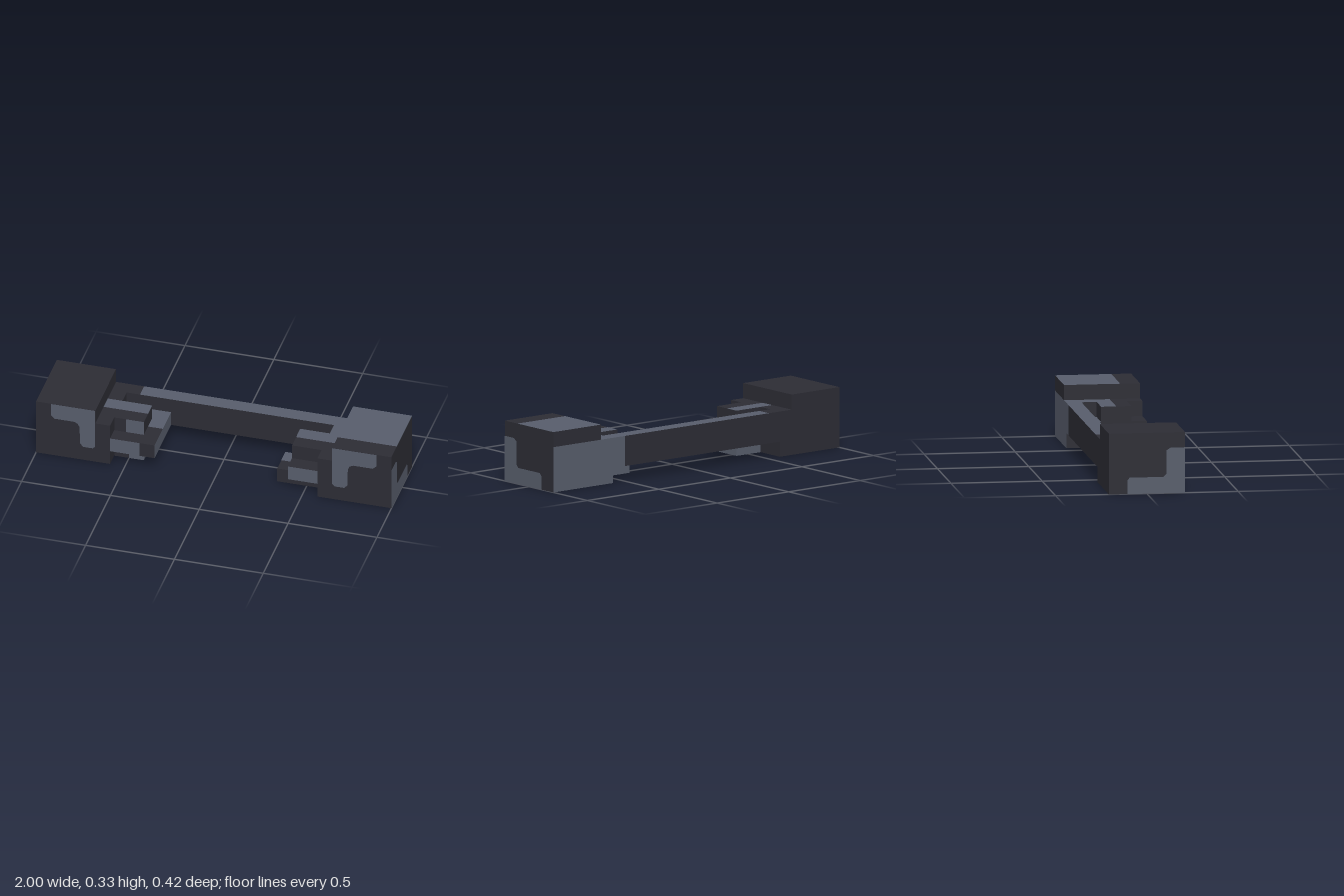
import * as THREE from 'three';

const U = 1 / 12; // grid step of the blocky design

export function createModel() {
  const dark = new THREE.MeshStandardMaterial({ color: 0x2c2c34 });
  dark.name = 'charcoal';
  const light = new THREE.MeshStandardMaterial({ color: 0x575d6b });
  light.name = 'slate';
  const model = new THREE.Group();
  const faces = ['px', 'nx', 'py', 'ny', 'pz', 'nz'];

  // Box from grid limits; the listed faces are slate, the others charcoal
  function block(parent, [x0, x1], [y0, y1], [z0, z1], slate = '') {
    const geo = new THREE.BoxGeometry((x1 - x0) * U, (y1 - y0) * U, (z1 - z0) * U);
    const mesh = new THREE.Mesh(geo, faces.map(f => (slate.includes(f) ? light : dark)));
    mesh.position.set((x0 + x1) / 2 * U, (y0 + y1) / 2 * U, (z0 + z1) / 2 * U);
    mesh.name = parent.name + 'Section';
    parent.add(mesh);
  }
  function part(name, boxes) {
    const group = new THREE.Group();
    group.name = name;
    boxes.forEach(b => block(group, ...b));
    model.add(group);
  }

  // Right end: plain block, mount and stepped fingers
  part('rightEndBlock', [[[-12, -8], [0, 4], [-2.5, 2.5]]]);
  part('rightMount', [
    [[-8, -7], [0, 3], [-2.5, -0.5]],
    [[-8, -7], [0, 3], [-0.5, 0.5], 'py'],
    [[-8, -7], [0, 3], [0.5, 2.5]],
  ]);
  part('rightUpperFinger', [
    [[-7, -5], [2, 3], [-0.5, 0.5], 'py'],
    [[-7, -6.2], [2, 3], [0.5, 1.5]],
    [[-6.2, -5], [2, 3], [0.5, 1.5], 'pz'],
  ]);
  part('rightPlate', [
    [[-7, -4], [1, 2], [-1.5, 0.5], 'py px'],
    [[-7, -5], [1, 2], [0.5, 2.5], 'pz'],
    [[-5, -4], [1, 2], [0.5, 2.5], 'px'],
  ]);
  part('rightLowerFinger', [
    [[-7, -6], [0, 1], [-0.5, 1.5], 'nz'],
    [[-6, -5], [0, 1], [-0.5, 1.5], 'px pz nz'],
  ]);

  // Rear bar joining both ends
  part('rearBar', [
    [[-7, -6.1], [1, 3], [-2.5, -1.5]],
    [[-6.1, 6], [1, 3], [-2.5, -1.5], 'py ny'],
    [[6, 7], [1, 3], [-2.5, -1.5], 'py ny nz'],
  ]);

  // Left end: two-tone block, mount and stepped fingers
  part('leftEndBlock', [
    [[8, 12], [0, 3], [-2.5, 1.2], 'nz ny'],
    [[8, 12], [3, 4], [-2.5, 1.2], 'py'],
    [[8, 12], [0, 4], [1.2, 2.5]],
  ]);
  part('leftMount', [
    [[7, 8], [0, 3], [-2.5, 0.5], 'py ny nz'],
    [[7, 8], [0, 3], [0.5, 2.5]],
  ]);
  part('leftUpperFinger', [
    [[5, 7], [2, 3], [-0.5, 0.5], 'py'],
    [[5, 7], [2, 3], [0.5, 1.5]],
  ]);
  part('leftPlate', [
    [[5, 7], [1, 2], [-1.5, 0.5], 'py'],
    [[5, 7], [1, 2], [0.5, 2.5], 'pz'],
  ]);
  part('leftLowerFinger', [
    [[4, 7], [0, 1], [-0.5, 0.5], 'py ny nz'],
    [[4, 7], [0, 1], [0.5, 1.5]],
  ]);

  // Painted patches: thin plates with rounded corners, one pair per end
  const shapeOf = pts => new THREE.Shape(pts.map(p => new THREE.Vector2(...p)));
  const frontPts = s => [
    [0.667, 0.333], [0.667, 0.1], [0.68, 0.085], [0.735, 0.085], [0.752, 0.105],
    [0.755, 0.21], [0.765, 0.23], [0.785, 0.24], [0.895, 0.24], [0.917, 0.26], [0.917, 0.333],
  ].map(([x, y]) => [x * s, y]);
  const sidePts = s => [
    [-0.208, 0], [0.107, 0], [0.107, 0.075], [0.095, 0.09], [-0.09, 0.09],
    [-0.106, 0.106], [-0.106, 0.235], [-0.13, 0.25], [-0.208, 0.25],
  ].map(([x, y]) => [x * s, y]);

  for (const s of [-1, 1]) {
    const side = s > 0 ? 'left' : 'right';
    const front = new THREE.Mesh(new THREE.ShapeGeometry(shapeOf(frontPts(s))), light);
    front.position.z = 2.5 * U + 0.0015;
    front.name = side + 'FrontPatch';
    const outer = new THREE.Mesh(new THREE.ShapeGeometry(shapeOf(sidePts(s))), light);
    outer.rotation.y = s * Math.PI / 2;
    outer.position.x = s * 1.0015;
    outer.name = side + 'OuterPatch';
    model.add(front, outer);
  }
  return model;
}
